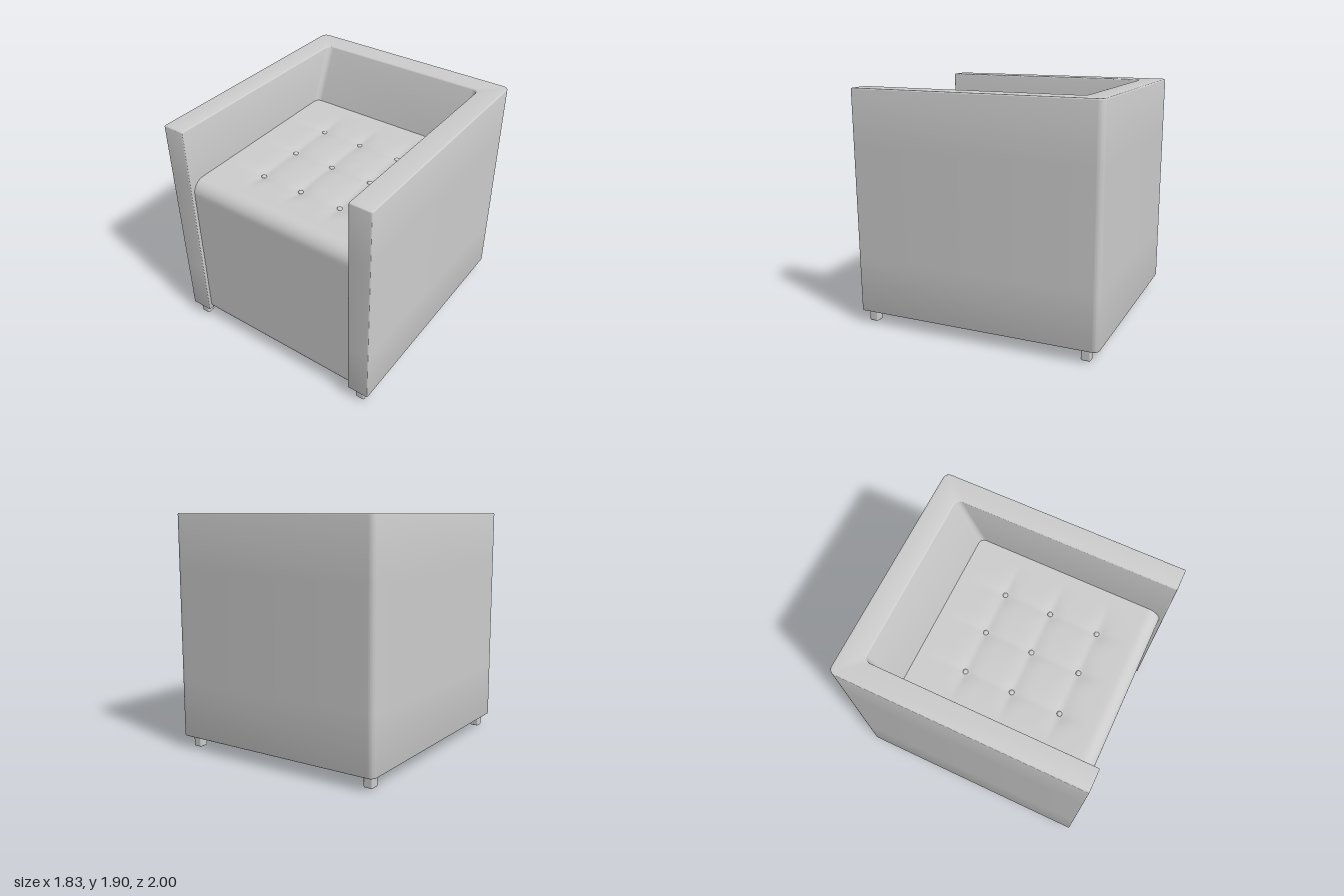
import * as THREE from 'three';
import { toCreasedNormals } from 'three/addons/utils/BufferGeometryUtils.js';
import { RoundedBoxGeometry } from 'three/addons/geometries/RoundedBoxGeometry.js';

const BUTTON_X = [-0.36, 0, 0.36];
const BUTTON_Z = [-0.225, 0.17, 0.57];
const SEAT_Y = 1.45;

// Distance from v to the nearest value in a list
const nearest = (v, list) => Math.min(...list.map((b) => Math.abs(v - b)));

// How far the tufted seat is pulled down at (x, z)
function tuft(x, z) {
  const dx = nearest(x, BUTTON_X);
  const dz = nearest(z, BUTTON_Z);
  const fadeX = 1 - THREE.MathUtils.smoothstep(Math.abs(x), 0.38, 0.7);
  const fadeZ = (1 - THREE.MathUtils.smoothstep(z, 0.58, 0.82)) * THREE.MathUtils.smoothstep(z, -0.58, -0.24);
  const crease = Math.max(Math.exp(-dx / 0.07) * fadeZ, Math.exp(-dz / 0.07) * fadeX);
  return 0.014 * crease + 0.014 * Math.exp(-(dx * dx + dz * dz) / 0.006) * fadeX * fadeZ;
}

// U-shaped shell: two arms and a back whose inner face leans backwards
function shellGeometry() {
  const s = new THREE.Shape();
  const X = 0.915, I = 0.73, B = 0.81, R = 0.05, r = 0.012;
  // Drawn with shape y = -z
  s.moveTo(-X + r, -1);
  s.lineTo(-I - r, -1);
  s.quadraticCurveTo(-I, -1, -I, -1 + r);
  s.lineTo(-I, B - R);
  s.absarc(-I + R, B - R, R, Math.PI, Math.PI / 2, true);
  s.lineTo(I - R, B);
  s.absarc(I - R, B - R, R, Math.PI / 2, 0, true);
  s.lineTo(I, -1 + r);
  s.quadraticCurveTo(I, -1, I + r, -1);
  s.lineTo(X - r, -1);
  s.quadraticCurveTo(X, -1, X, -1 + r);
  s.lineTo(X, 1 - R);
  s.absarc(X - R, 1 - R, R, 0, Math.PI / 2, false);
  s.lineTo(-X + R, 1);
  s.absarc(-X + R, 1 - R, R, Math.PI / 2, Math.PI, false);
  s.lineTo(-X, -1 + r);
  s.quadraticCurveTo(-X, -1, -X + r, -1);
  const b = 0.01;
  const g = new THREE.ExtrudeGeometry(s, {
    depth: 1.8 - 2 * b, steps: 4, curveSegments: 6,
    bevelEnabled: true, bevelThickness: b, bevelSize: b, bevelOffset: -b, bevelSegments: 3,
  });
  g.rotateX(-Math.PI / 2);
  g.translate(0, 0.1 + b, 0);
  // Lean the inner back face forwards towards the seat
  const p = g.attributes.position;
  for (let i = 0; i < p.count; i++) {
    const z = p.getZ(i);
    if (Math.abs(p.getX(i)) < 0.745 && z < -0.755 && z > -0.9) {
      p.setZ(i, z + 0.43 * Math.max(0, 1.89 - Math.max(p.getY(i), 1.4)));
    }
  }
  return toCreasedNormals(g, 0.6);
}

// Seat skin: a section swept across x, running over the top, down the front and under
function seatGeometry() {
  const path = new THREE.Path();
  path.moveTo(-0.68, SEAT_Y);
  path.lineTo(0.86, SEAT_Y - 0.01);
  path.absarc(0.86, SEAT_Y - 0.12, 0.11, Math.PI / 2, 0, true);
  path.lineTo(0.97, 0.15);
  path.absarc(0.93, 0.15, 0.04, 0, -Math.PI / 2, true);
  path.lineTo(-0.68, 0.11);
  const rows = 220, cols = 80;
  const pts = path.getSpacedPoints(rows);
  const g = new THREE.PlaneGeometry(1.47, 1, cols, rows);
  const p = g.attributes.position;
  for (let i = 0; i < p.count; i++) {
    const q = pts[Math.floor(i / (cols + 1))];
    const dip = q.y > 1.3 ? tuft(p.getX(i), q.x) : 0;
    p.setXYZ(i, p.getX(i), q.y - dip, q.x);
  }
  g.computeVertexNormals();
  return g;
}

export function createModel() {
  const model = new THREE.Group();
  model.name = 'armchair';
  const upholstery = new THREE.MeshStandardMaterial({ color: 0xcccccc });
  upholstery.name = 'light grey';

  const add = (name, geometry, x = 0, y = 0, z = 0) => {
    const mesh = new THREE.Mesh(geometry, upholstery);
    mesh.name = name;
    mesh.position.set(x, y, z);
    model.add(mesh);
    return mesh;
  };

  add('armsAndBack', shellGeometry());
  add('seat', seatGeometry());

  // Thin cover under the chair
  add('bottomCover', new THREE.BoxGeometry(1.66, 0.012, 1.8), 0, 0.1, 0.01);

  // Seat buttons
  const button = new THREE.SphereGeometry(0.021, 16, 10);
  button.scale(1, 0.6, 1);
  for (const x of BUTTON_X) {
    for (const z of BUTTON_Z) {
      add('seatButton', button, x, SEAT_Y - 0.005 - tuft(x, z) + 0.003, z);
    }
  }

  // Legs
  const leg = new RoundedBoxGeometry(0.076, 0.12, 0.076, 3, 0.012);
  for (const x of [-0.825, 0.825]) {
    add('frontLeg', leg, x, 0.06, 0.93);
    add('backLeg', leg, x, 0.06, -0.89);
  }
  return model;
}
